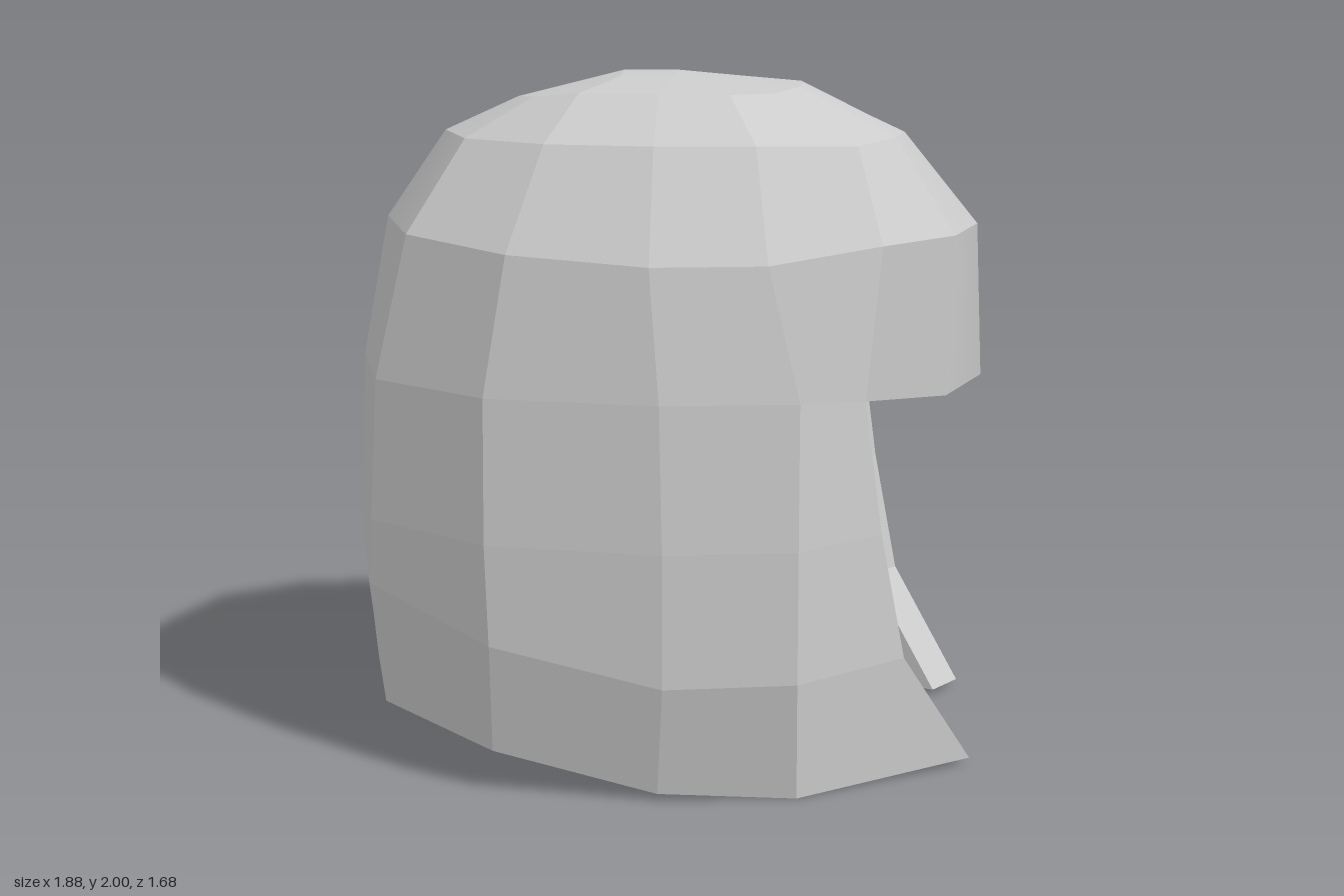
import * as THREE from 'three';

// Rings of the dome, from the crown down; each runs from the back (-x) round the left side to the brow (+x).
const crownRings = [
  [[-0.45, 1.92, 0], [-0.38, 1.93, 0.18], [-0.23, 1.95, 0.36], [0, 1.95, 0.41], [0.2, 1.95, 0.41], [0.32, 1.95, 0.34], [0.39, 1.96, 0.17], [0.4, 1.96, 0]],
  [[-0.67, 1.82, 0], [-0.56, 1.82, 0.34], [-0.31, 1.82, 0.54], [0, 1.82, 0.6], [0.28, 1.82, 0.58], [0.56, 1.81, 0.43], [0.67, 1.82, 0.21], [0.7, 1.82, 0]],
  [[-0.85, 1.56, 0], [-0.71, 1.56, 0.48], [-0.4, 1.53, 0.69], [0, 1.51, 0.78], [0.32, 1.51, 0.73], [0.63, 1.55, 0.59], [0.84, 1.55, 0.32], [0.92, 1.55, 0]],
  [[-0.93, 1.14, 0], [-0.81, 1.14, 0.46], [-0.46, 1.14, 0.74], [0.03, 1.14, 0.82], [0.41, 1.14, 0.77], [0.59, 1.11, 0.55], [0.82, 1.095, 0.36], [0.94, 1.095, 0]],
];
// Rings of the neck and cheeks, which stop at the edge of the face opening.
const cheekRings = [
  [[-0.945, 0.73, 0], [-0.83, 0.73, 0.47], [-0.46, 0.73, 0.76], [0.04, 0.73, 0.84], [0.41, 0.73, 0.78], [0.64, 0.73, 0.55]],
  [[-0.945, 0.54, 0], [-0.84, 0.54, 0.47], [-0.45, 0.44, 0.76], [0.04, 0.35, 0.84], [0.41, 0.35, 0.77], [0.71, 0.36, 0.52]],
  [[-0.91, 0.18, 0], [-0.8, 0.18, 0.46], [-0.45, 0.12, 0.71], [0.02, 0.02, 0.755], [0.41, 0, 0.71], [0.91, 0.02, 0.385]],
];
// The crown closes on a nearly flat panel around a centre ridge.
const panelX = [-0.13, -0.13, -0.13, 0.03, 0.2, 0.2, 0.2, 0.2];
const ridge = panelX.map((x) => [x, x > 0.1 ? 1.985 : 2, 0]);
const panelEdge = ridge.map(([x, y], c) => (c === 0 || c === 7 ? [x, y, 0] : [x, y - 0.012, 0.17]));
const rings = [ridge, panelEdge, ...crownRings, ...cheekRings];

const COLS = 14, ROWS = rings.length, BROW = 5, THICK = 0.165;
const at = (r, i) => r * COLS + ((i + COLS) % COLS);
const solid = (r, i) => {
  const c = (i + COLS) % COLS;
  return r < ROWS - 1 && (r < BROW || c < 5 || c > 8);
};

// Mirror each half ring into a full loop.
function outerPoints() {
  const points = [];
  for (const ring of rings) {
    for (let i = 0; i < COLS; i++) {
      const c = i <= 7 ? i : COLS - i;
      const [x, y, z] = ring[Math.min(c, ring.length - 1)];
      points.push(new THREE.Vector3(x, y, i <= 7 ? z : -z));
    }
  }
  return points;
}

// Offset the shell inward along its normals.
function innerPoints(outer, quads) {
  const geo = new THREE.BufferGeometry().setFromPoints(outer);
  geo.setIndex(quads.flatMap(([a, b, c, d]) => [a, b, c, a, c, d]));
  geo.computeVertexNormals();
  const normals = geo.getAttribute('normal');
  return outer.map((p, k) => {
    const r = Math.floor(k / COLS), i = k % COLS;
    const n = new THREE.Vector3().fromBufferAttribute(normals, k);
    const front = i >= 5 && i <= 9;
    if (r < 2) n.set(0, 1, 0);
    // rims stay level with the outer edge
    if (r === ROWS - 1 || (r === BROW && front)) n.setY(0).normalize();
    const q = p.clone().addScaledVector(n, -THICK);
    if (r >= BROW && (i === 5 || i === 9)) q.set(p.x - 0.08, p.y, p.z - Math.sign(p.z) * 0.12);
    else if (r === BROW && front) q.y -= 0.015;
    return q;
  });
}

// Faceted mesh with one normal per quad, blended only across the centre line.
function part(name, points, quads) {
  const positions = [], normals = [];
  for (const quad of quads) {
    const [a, b, c, d] = quad.map((k) => points[k]);
    const normal = c.clone().sub(a).cross(d.clone().sub(b)).normalize();
    for (const tri of [[a, b, c], [a, c, d]]) {
      if (new THREE.Triangle(...tri).getArea() < 1e-6) continue;
      for (const p of tri) {
        const n = normal.clone();
        if (Math.abs(p.z) < 1e-4) n.setZ(0).normalize();
        positions.push(p);
        normals.push(...n.toArray());
      }
    }
  }
  const geo = new THREE.BufferGeometry().setFromPoints(positions);
  geo.setAttribute('normal', new THREE.Float32BufferAttribute(normals, 3));
  const mesh = new THREE.Mesh(geo, new THREE.MeshStandardMaterial({ color: 0xcccccc }));
  mesh.name = name;
  return mesh;
}

export function createModel() {
  const outer = outerPoints();
  const shell = [], rim = [];
  // bridge outer and inner surfaces wherever the shell ends
  const bridge = (p, q) => rim.push([q, p, p + outer.length, q + outer.length]);

  for (let r = 0; r < ROWS - 1; r++) {
    for (let i = 0; i < COLS; i++) {
      if (!solid(r, i)) continue;
      const a = at(r, i), b = at(r, i + 1), c = at(r + 1, i), d = at(r + 1, i + 1);
      shell.push([a, c, d, b]);
      if (!solid(r, i - 1)) bridge(a, c);
      if (!solid(r + 1, i)) bridge(c, d);
      if (!solid(r, i + 1)) bridge(d, b);
    }
  }

  const inner = innerPoints(outer, shell);
  const lining = shell.map(([a, c, d, b]) => [a, b, d, c]);
  const helmet = new THREE.Group();
  helmet.name = 'helmet';
  helmet.add(
    part('outerShell', outer, shell),
    part('innerLining', inner, lining),
    part('rim', [...outer, ...inner], rim),
  );
  return helmet;
}
